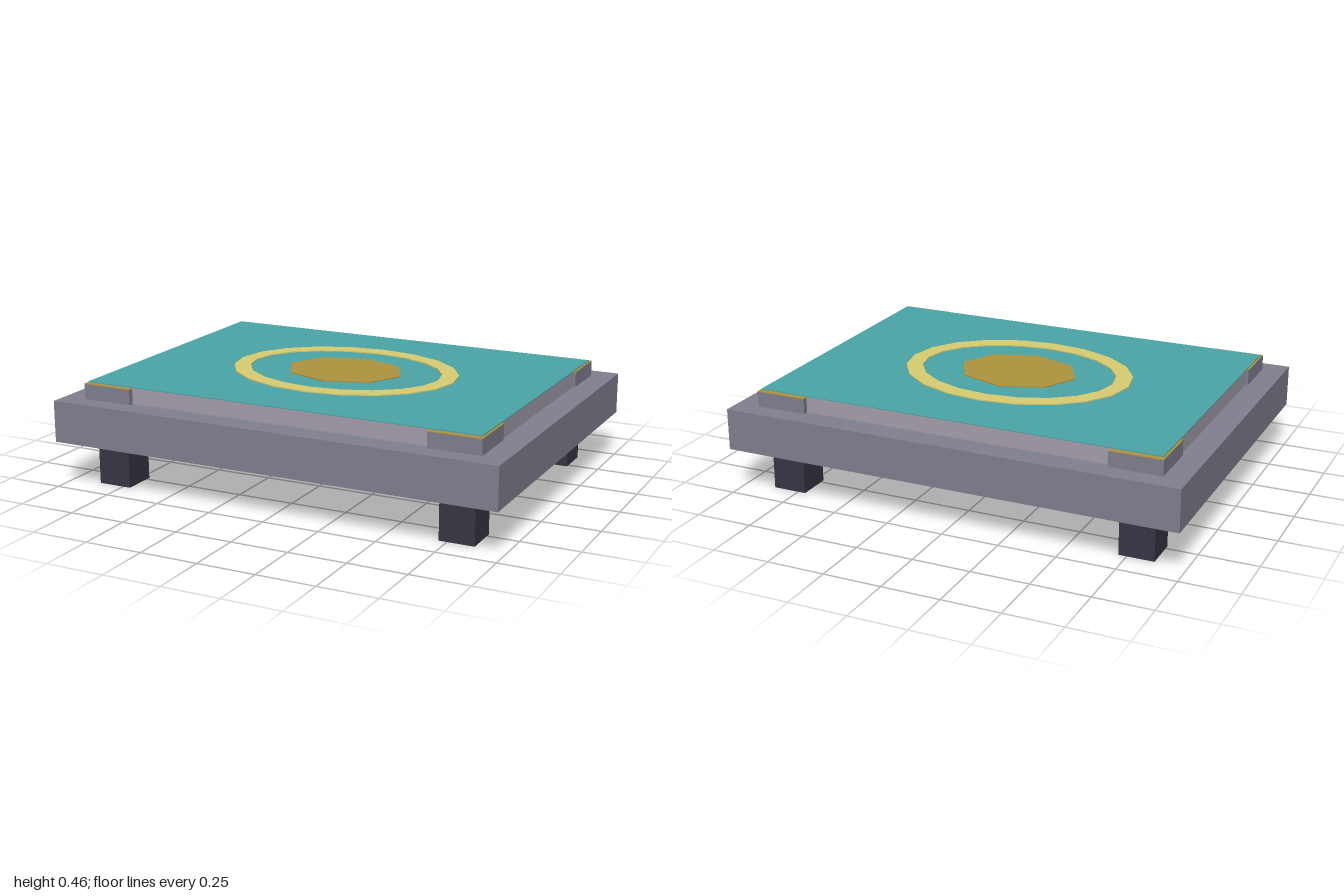
import * as THREE from 'three';

const mat = (color) => new THREE.MeshStandardMaterial({ color, flatShading: true });

export function createModel() {
  const model = new THREE.Group();
  const stone = mat(0x80808f), pale = mat(0xa39daa), dark = mat(0x363543);
  const teal = mat(0x4aa5a7), gold = mat(0xae943e), paleGold = mat(0xd8cc70);

  function add(name, geometry, material, x = 0, y = 0, z = 0) {
    const mesh = new THREE.Mesh(geometry, material);
    mesh.name = name;
    mesh.position.set(x, y, z);
    model.add(mesh);
    return mesh;
  }

  // Box given by its bottom and top heights
  const slab = (name, w, d, y0, y1, material, x = 0, z = 0) =>
    add(name, new THREE.BoxGeometry(w, y1 - y0, d), material, x, (y0 + y1) / 2, z);

  // Stacked platform
  slab('base', 2, 1.5, 0.2, 0.38, stone);
  slab('upperStep', 1.78, 1.285, 0.38, 0.45, pale);
  slab('topPanel', 1.785, 1.29, 0.45, 0.454, teal);

  // Legs and capped corner blocks
  for (const sx of [-1, 1]) {
    for (const sz of [-1, 1]) {
      slab('leg', 0.15, 0.15, 0, 0.2, dark, sx * 0.79, sz * 0.555);
      slab('cornerBlock', 0.225, 0.225, 0.38, 0.445, stone, sx * 0.7875, sz * 0.5525);
      slab('cornerCap', 0.225, 0.225, 0.445, 0.448, gold, sx * 0.7875, sz * 0.5525);
    }
  }

  // Elliptical polygon outline
  const outline = (rx, rz, n) => Array.from({ length: n }, (_, i) => {
    const a = (i / n) * Math.PI * 2;
    return new THREE.Vector2(rx * Math.cos(a), rz * Math.sin(a));
  });

  // Flat inlay laid on the panel
  function inlay(name, shape, depth, material) {
    const geometry = new THREE.ExtrudeGeometry(shape, { depth, bevelEnabled: false });
    geometry.rotateX(-Math.PI / 2);
    add(name, geometry, material, 0, 0.453, 0);
  }

  const ring = new THREE.Shape(outline(0.508, 0.398, 20));
  ring.holes.push(new THREE.Path(outline(0.435, 0.325, 20).reverse()));
  inlay('ringInlay', ring, 0.006, paleGold);
  inlay('centreInlay', new THREE.Shape(outline(0.265, 0.21, 8)), 0.006, gold);

  return model;
}
